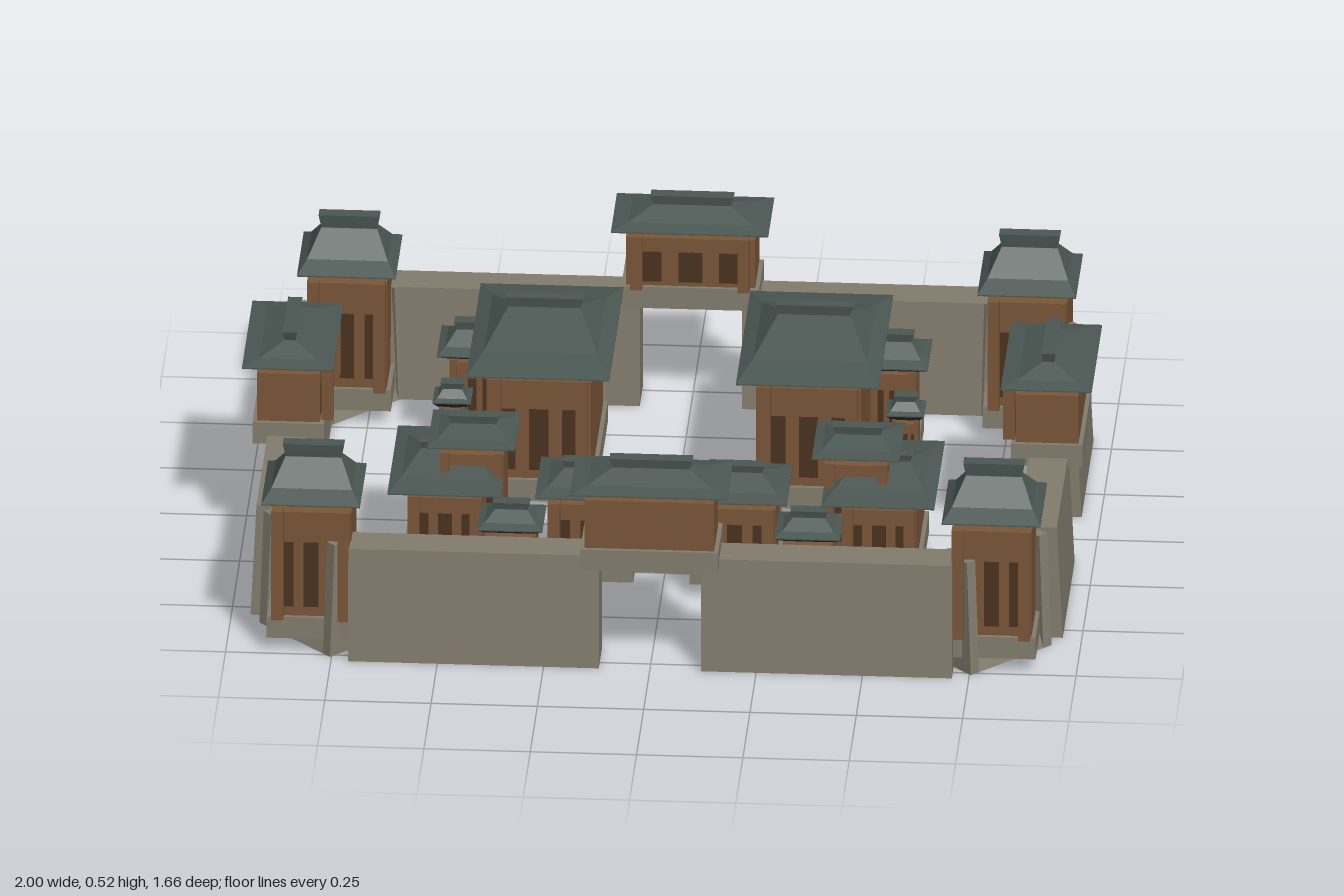
import * as THREE from 'three';

const mat = (name, color) => {
  const m = new THREE.MeshStandardMaterial({ color });
  m.name = name;
  return m;
};

// Solid made of stacked rectangles, each [halfX, halfZ, y], lowest first
function stack(rings) {
  const pos = [];
  const corners = ([x, z, y]) => [[-x, y, z], [x, y, z], [x, y, -z], [-x, y, -z]];
  const quad = (a, b, c, d) => pos.push(...a, ...b, ...c, ...a, ...c, ...d);
  for (let i = 0; i < rings.length - 1; i++) {
    const a = corners(rings[i]), b = corners(rings[i + 1]);
    for (let k = 0; k < 4; k++) quad(a[k], a[(k + 1) % 4], b[(k + 1) % 4], b[k]);
  }
  const lo = corners(rings[0]), hi = corners(rings[rings.length - 1]);
  quad(lo[3], lo[2], lo[1], lo[0]);
  quad(hi[0], hi[1], hi[2], hi[3]);
  const g = new THREE.BufferGeometry();
  g.setAttribute('position', new THREE.Float32BufferAttribute(pos, 3));
  g.computeVertexNormals();
  return g;
}

export function createModel() {
  const stone = mat('stone', 0x827c6d);
  const wood = mat('brown wood', 0x7a5638);
  const shade = mat('dark wood', 0x4a3220);
  const tile = mat('roof tile', 0x4b5753);
  const eaveDark = mat('dark eave', 0x2f3738);

  const model = new THREE.Group();
  model.name = 'walledCompound';

  const add = (parent, name, geo, material, x = 0, y = 0, z = 0, ry = 0) => {
    const m = new THREE.Mesh(geo, material);
    m.name = name;
    m.position.set(x, y, z);
    m.rotation.y = ry;
    parent.add(m);
  };
  const box = (parent, name, w, h, d, material, x, y, z) =>
    add(parent, name, new THREE.BoxGeometry(w, h, d), material, x, y, z);

  // Pavilion: plinth, timber body with porch posts and openings in front, hipped roof, ridge cap
  function pavilion(name, o) {
    const { x, z, hx, hz, base, eave, ridge, cap, rx, inset = 0.045, ry = 0 } = o;
    const g = new THREE.Group();
    g.name = name;
    g.position.set(x, 0, z);
    g.rotation.y = ry;
    model.add(g);
    const bx = hx - inset, bz = hz - inset, floor = base + 0.055, top = eave - 0.025;
    const h = top - floor;

    box(g, 'plinth', 2 * bx + 0.02, 0.055, 2 * bz + 0.02, stone, 0, base + 0.0275, 0);
    box(g, 'body', 2 * bx, h, 2 * bz, wood, 0, floor + h / 2, 0);

    // Two porch posts before the front face, a little taller than the body
    const p = Math.min(0.028, bx * 0.3), ph = h + 0.014;
    for (const s of [-1, 1])
      box(g, 'porchPost', p, ph, p, wood, s * bx * 0.83, floor + ph / 2, bz + p * 0.6);

    // Door and two windows on the front face
    for (const i of [-1, 0, 1])
      box(g, i ? 'window' : 'door', bx * 0.37, h * 0.62, 0.006, shade, i * bx * 0.63, floor + h * 0.4, bz);

    // Upturned eave and concave hipped roof
    const lip = Math.min(0.03, hx * 0.3);
    add(g, 'eave', stack([[hx - lip, hz - lip, eave - 0.014], [hx, hz, eave]]), eaveDark);
    const rz = 0.014, mid = (a, b) => a + (b - a) * 0.42;
    add(g, 'roof', stack([
      [hx, hz, eave], [hx, hz, eave + 0.003],
      [mid(hx, rx), mid(hz, rz), eave + (ridge - eave) * 0.32],
      [rx, rz, ridge],
    ]), tile);
    add(g, 'ridgeCap', stack([
      [rx * 0.95, rz * 0.8, ridge - 0.012], [rx + 0.003, rz + 0.001, (ridge + cap) / 2],
      [rx + 0.006, rz + 0.003, cap],
    ]), tile);
  }

  // Battered curtain walls, two lengths on every side
  const wall = (len, height = 0.285) => stack([[len / 2, 0.06, 0], [len / 2, 0.046, height]]);
  const longWall = wall(0.59), shortWall = wall(0.42), wing = wall(0.026), sill = wall(0.2, 0.036);
  for (const a of [-1, 1]) for (const b of [-1, 1]) {
    add(model, 'curtainWall', longWall, stone, a * 0.415, 0, b * 0.722);
    add(model, 'sideWall', shortWall, stone, a * 0.895, 0, b * 0.332, Math.PI / 2);
    // Diagonal wings either side of each corner tower, joined by a low sill
    const ry = a * b * Math.PI / 4;
    for (const t of [-0.113, 0.113])
      add(model, 'cornerWing', wing, stone, a * (0.80 + t * 0.707), 0, b * (0.63 - t * 0.707), ry);
    add(model, 'cornerSill', sill, stone, a * 0.80, 0, b * 0.63, ry);
    pavilion('cornerTower', {
      x: a * 0.80, z: b * 0.63, hx: 0.116, hz: 0.121, base: 0.035,
      eave: 0.383, ridge: 0.462, cap: 0.495, rx: 0.066, inset: 0.022,
    });
  }

  // Gatehouses bridging the wall gaps, all facing the courtyard
  const gate = {
    hx: 0.185, hz: 0.107, base: 0.265, eave: 0.468, ridge: 0.502, cap: 0.525,
    rx: 0.092, inset: 0.033,
  };
  for (const s of [-1, 1]) {
    pavilion('gatehouse', { ...gate, x: 0, z: s * 0.725, ry: s > 0 ? Math.PI : 0 });
    pavilion('sideGatehouse', { ...gate, x: s * 0.892, z: 0, ry: -s * Math.PI / 2 });
  }

  // Courtyard buildings, mirrored left and right
  const yard = [
    ['mainHall', { x: 0.317, z: -0.273, hx: 0.168, hz: 0.257, eave: 0.367, ridge: 0.44, cap: 0.465, rx: 0.085 }],
    ['rearLodge', { x: 0.495, z: -0.445, hx: 0.082, hz: 0.085, eave: 0.255, ridge: 0.295, cap: 0.315, rx: 0.04, inset: 0.028 }],
    ['sideHut', { x: 0.533, z: -0.265, hx: 0.045, hz: 0.045, eave: 0.20, ridge: 0.225, cap: 0.24, rx: 0.022, inset: 0.014 }],
    ['sideHall', { x: 0.51, z: 0.21, hx: 0.133, hz: 0.188, eave: 0.253, ridge: 0.295, cap: 0.312, rx: 0.065 }],
    ['upperPavilion', { x: 0.452, z: 0.203, hx: 0.103, hz: 0.106, eave: 0.333, ridge: 0.358, cap: 0.378, rx: 0.053, inset: 0.028 }],
    ['frontLodge', { x: 0.172, z: 0.285, hx: 0.124, hz: 0.114, eave: 0.253, ridge: 0.29, cap: 0.308, rx: 0.06, inset: 0.028 }],
    ['frontHut', { x: 0.35, z: 0.407, hx: 0.077, hz: 0.074, eave: 0.205, ridge: 0.235, cap: 0.252, rx: 0.038, inset: 0.018 }],
  ];
  for (const s of [-1, 1])
    for (const [name, o] of yard) pavilion(name, { base: 0.035, ...o, x: s * o.x });

  return model;
}
